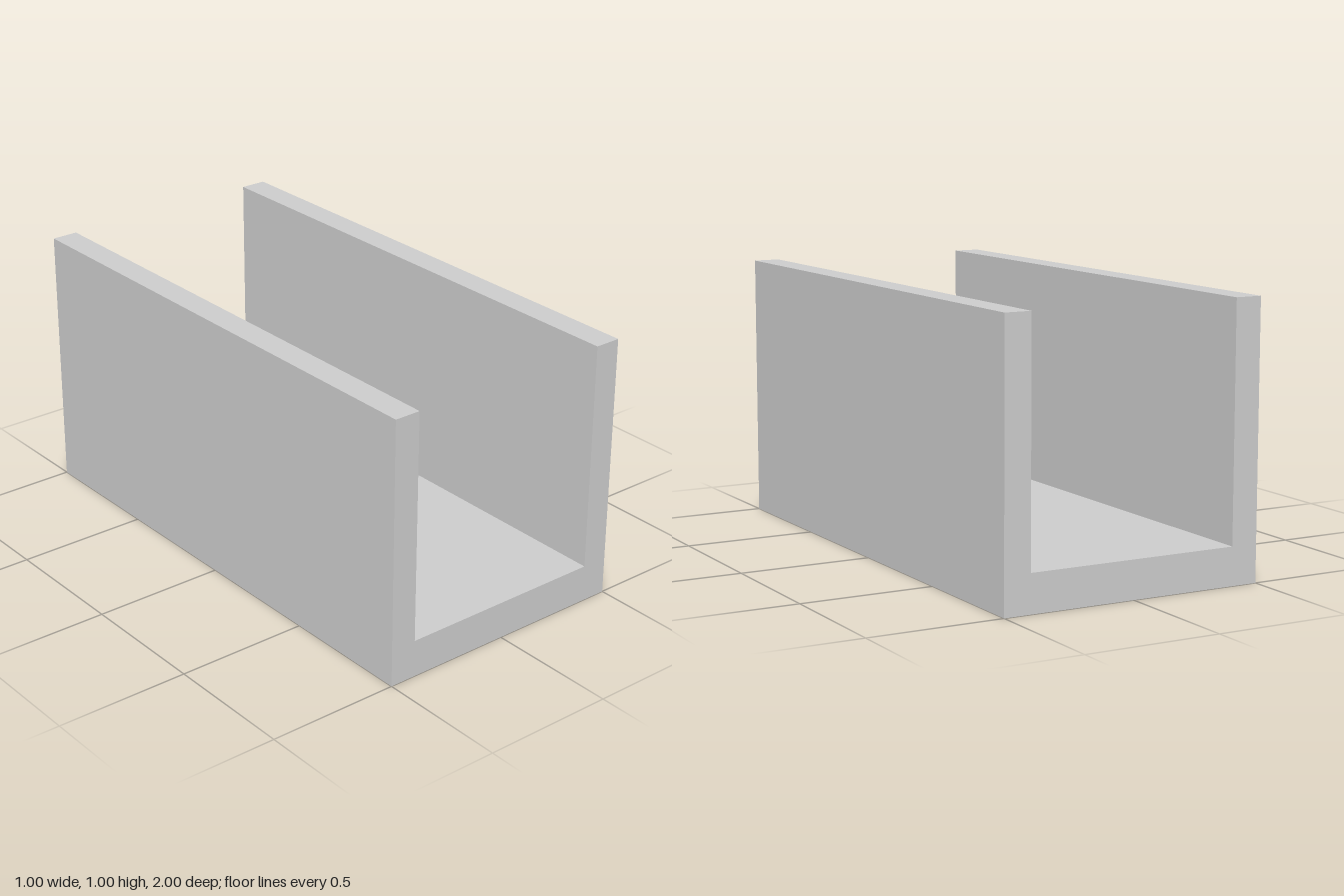
import * as THREE from 'three';

const WIDTH = 1, HEIGHT = 1, LENGTH = 2;
const WALL = 0.1, FLOOR = 0.14;

export function createModel() {
  const group = new THREE.Group();
  group.name = 'channel';

  // U-shaped cross-section, counter-clockwise from the bottom left
  const outer = WIDTH / 2, inner = outer - WALL;
  const section = new THREE.Shape([
    [-outer, 0], [outer, 0], [outer, HEIGHT], [inner, HEIGHT],
    [inner, FLOOR], [-inner, FLOOR], [-inner, HEIGHT], [-outer, HEIGHT],
  ].map(([x, y]) => new THREE.Vector2(x, y)));

  // Section extruded along z and centred
  const geometry = new THREE.ExtrudeGeometry(section, { depth: LENGTH, bevelEnabled: false });
  geometry.translate(0, 0, -LENGTH / 2);

  const channel = new THREE.Mesh(geometry, new THREE.MeshStandardMaterial({ color: 0xcccccc }));
  channel.name = 'uChannel';
  group.add(channel);
  return group;
}
